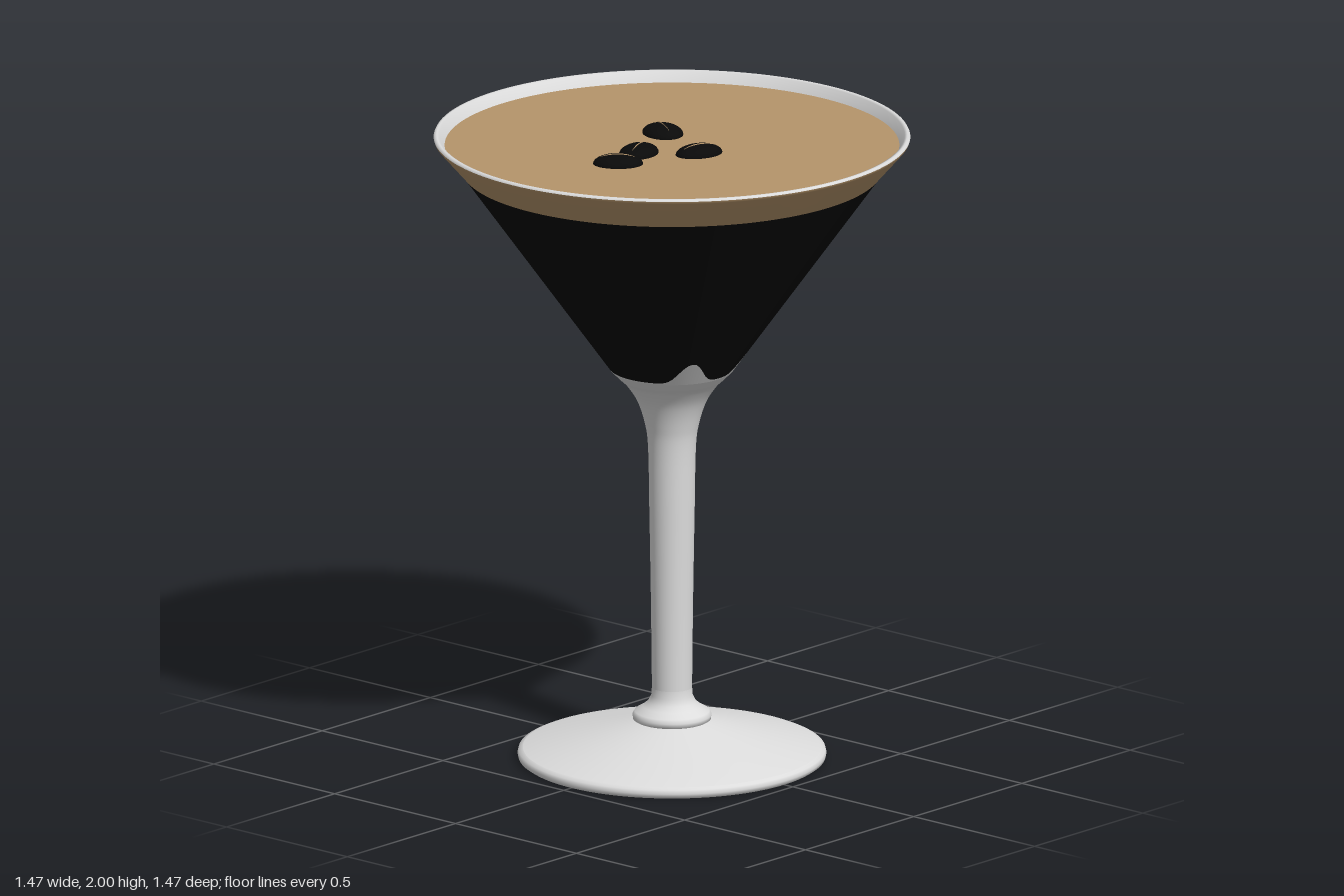
import * as THREE from 'three';

const material = (name, color) => {
  const m = new THREE.MeshStandardMaterial({ color });
  m.name = name;
  return m;
};

export function createModel() {
  const glass = material('pale glass', 0xdcdcdc);
  const coffee = material('black coffee', 0x050505);
  const foam = material('tan foam', 0xb5946a);
  const beanBrown = material('dark bean', 0x0a0a0a);

  const group = new THREE.Group();
  const SEGMENTS = 120;

  const add = (name, geometry, mat, parent = group) => {
    const mesh = new THREE.Mesh(geometry, mat);
    mesh.name = name;
    parent.add(mesh);
    return mesh;
  };
  // Profiles are [radius, height] pairs, running bottom to top on the outside
  const lathe = (profile) =>
    new THREE.LatheGeometry(profile.map(([r, y]) => new THREE.Vector2(r, y)), SEGMENTS);

  // Straight cone of the bowl, and the wavy lower edge of the coffee
  const bowlRadius = (y) => 0.19 + (y - 1.25) * 0.717;
  const bumps = [[1.0, 0.075, 0.22], [2.15, 0.065, 0.2], [-1.57, 0.11, 0.5]];
  const coffeeEdge = (phi) => bumps.reduce((y, [centre, height, width]) => {
    const d = Math.atan2(Math.sin(phi - centre), Math.cos(phi - centre)) / width;
    return y + height * Math.exp(-d * d);
  }, 1.255);
  const bowlBand = (y0, y1, wavy) => {
    const geometry = lathe([[bowlRadius(y0), y0], [bowlRadius(y1), y1]]);
    const p = geometry.attributes.position;
    for (let i = 0; i < p.count; i++) {
      if (Math.abs(p.getY(i) - wavy) > 1e-4) continue;
      const phi = Math.atan2(p.getX(i), p.getZ(i));
      const y = coffeeEdge(phi);
      p.setXYZ(i, bowlRadius(y) * Math.sin(phi), y, bowlRadius(y) * Math.cos(phi));
    }
    return geometry;
  };

  // Foot
  add('footUnderside', lathe([[0, 0.005], [0.46, 0.005]].reverse()), glass).material = glass;
  group.children[0].geometry = new THREE.CircleGeometry(0.465, SEGMENTS)
    .rotateX(Math.PI / 2).translate(0, 0.004, 0);
  add('footRim', lathe([[0.465, 0.004], [0.474, 0.01], [0.476, 0.02], [0.473, 0.032], [0.46, 0.038]]), glass);
  add('foot', lathe([[0.46, 0.038], [0.4, 0.055], [0.3, 0.08], [0.2, 0.105], [0.11, 0.127]]), glass);
  add('collar', lathe([[0.11, 0.124], [0.12, 0.13], [0.122, 0.143], [0.115, 0.155],
    [0.09, 0.17], [0.073, 0.185], [0.064, 0.205], [0.062, 0.23]]), glass);

  // Stem flaring out into the bowl
  const flare = new THREE.SplineCurve([[0.062, 0.23], [0.065, 0.5], [0.07, 0.8], [0.074, 1.0],
    [0.085, 1.08], [0.108, 1.15], [0.14, 1.2], [0.165, 1.225], [0.19, 1.25]]
    .map(([r, y]) => new THREE.Vector2(r, y)));
  add('stem', new THREE.LatheGeometry(flare.getPoints(48), SEGMENTS), glass);

  // Bowl
  add('bowlBottom', bowlBand(1.25, 1.3, 1.3), glass);
  add('coffeeBand', bowlBand(1.3, 1.888, 1.3), coffee);
  add('foamBand', lathe([[bowlRadius(1.888), 1.888], [0.732, 1.985], [0.735, 1.993]]), foam);
  add('rim', lathe([[0.735, 1.993], [0.732, 1.999], [0.725, 2], [0.717, 1.997], [0.7, 1.964]]), glass);

  // Drink surface
  add('foamTop', new THREE.CircleGeometry(0.703, SEGMENTS)
    .rotateX(-Math.PI / 2).translate(0, 1.966, 0), foam);

  // Coffee beans: x, z, direction of the long axis (dx, dz), half width
  [
    [-0.108, -0.078, 0.09, 0.045, 0.061],
    [0.126, 0.016, -0.3, 1, 0.057],
    [-0.014, 0.138, 0.35, 1, 0.058],
    [0.016, 0.267, 0.7, -0.6, 0.06],
  ].forEach(([x, z, dx, dz, halfWidth]) => {
    const bean = new THREE.Group();
    bean.name = 'coffeeBean';
    add('beanBody', new THREE.SphereGeometry(1, 32, 20).scale(0.077, 0.029, halfWidth), beanBrown, bean);
    add('beanSeam', new THREE.SphereGeometry(1, 24, 16).scale(0.072, 0.032, 0.0025), foam, bean);
    bean.position.set(x, 1.967, z);
    bean.rotation.y = Math.atan2(-dz, dx);
    group.add(bean);
  });

  return group;
}
